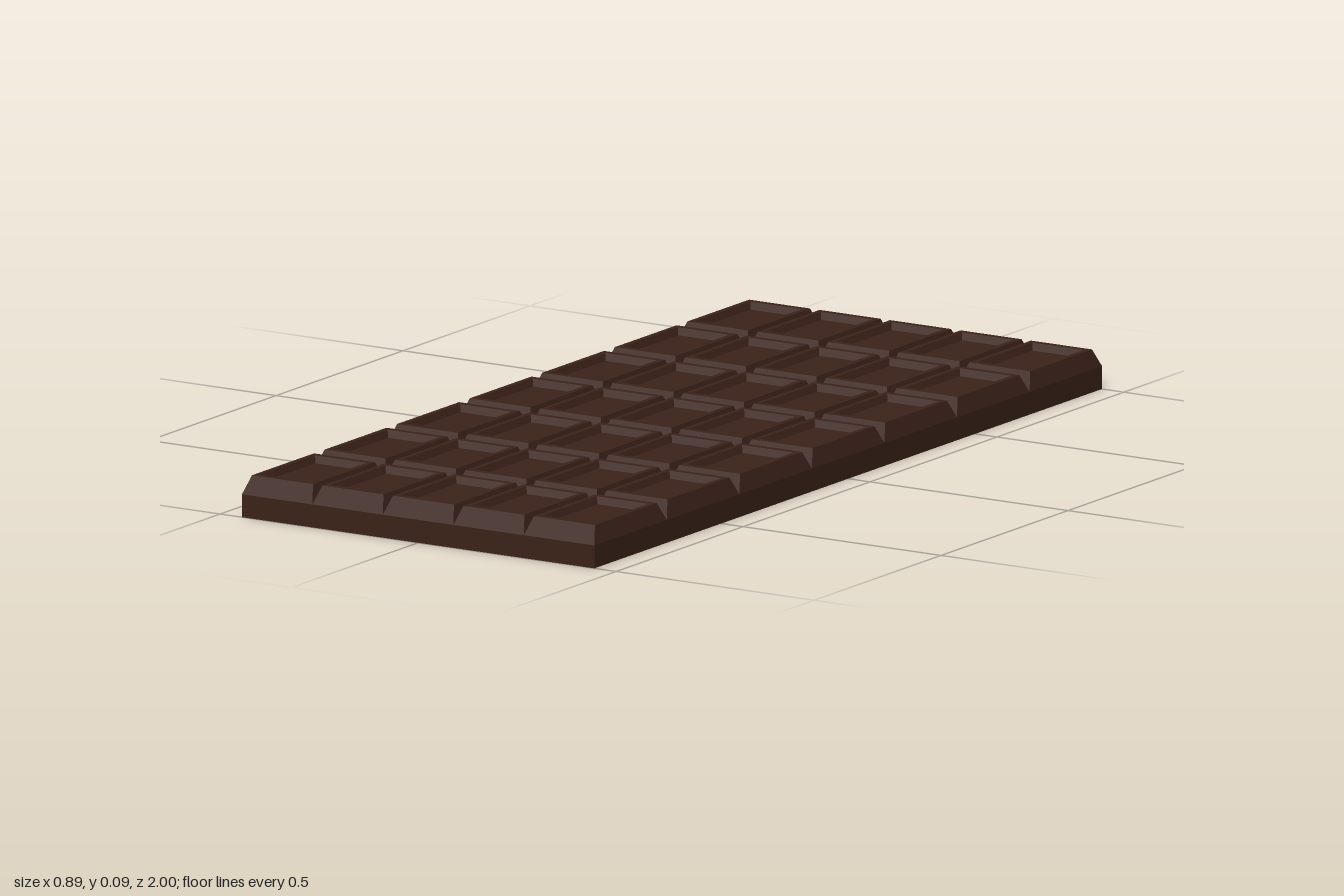
import * as THREE from 'three';

const WIDTH = 0.89, LENGTH = 2, BASE_H = 0.05, TOP = 0.089;
const COLS = 5, ROWS = 7;

// Flat-faced loft through rectangular rings [halfX, y, halfZ]; the last ring is capped.
function rectLoft(rings) {
  const pos = [];
  const corners = rings.map(([x, y, z]) => [[-x, y, z], [x, y, z], [x, y, -z], [-x, y, -z]]);
  const quad = (a, b, c, d) => pos.push(...a, ...b, ...c, ...a, ...c, ...d);
  for (let r = 0; r < corners.length - 1; r++) {
    for (let i = 0; i < 4; i++) {
      const j = (i + 1) % 4;
      quad(corners[r][i], corners[r][j], corners[r + 1][j], corners[r + 1][i]);
    }
  }
  quad(...corners[corners.length - 1]);
  const geo = new THREE.BufferGeometry();
  geo.setAttribute('position', new THREE.Float32BufferAttribute(pos, 3));
  geo.computeVertexNormals();
  return geo;
}

export function createModel() {
  const bar = new THREE.Group();
  bar.name = 'chocolateBar';
  const chocolate = new THREE.MeshStandardMaterial({ color: 0x3b2219, flatShading: true });

  // Solid slab under the pieces
  const base = new THREE.Mesh(new THREE.BoxGeometry(WIDTH, BASE_H, LENGTH), chocolate);
  base.name = 'base';
  base.position.y = BASE_H / 2;
  bar.add(base);

  // One piece: sloped sides, flat rim, bevelled recess and floor
  const px = WIDTH / COLS, pz = LENGTH / ROWS;
  const hx = px / 2, hz = pz / 2;
  const pieceGeo = rectLoft([
    [hx, BASE_H, hz],
    [hx - 0.012, TOP, hz - 0.021],
    [hx - 0.024, TOP, hz - 0.035],
    [hx - 0.031, TOP - 0.015, hz - 0.044],
  ]);

  // Grid of pieces
  const pieces = new THREE.Group();
  pieces.name = 'pieces';
  for (let r = 0; r < ROWS; r++) {
    for (let c = 0; c < COLS; c++) {
      const piece = new THREE.Mesh(pieceGeo, chocolate);
      piece.name = `piece_${r + 1}_${c + 1}`;
      piece.position.set((c - (COLS - 1) / 2) * px, 0, (r - (ROWS - 1) / 2) * pz);
      pieces.add(piece);
    }
  }
  bar.add(pieces);
  return bar;
}
